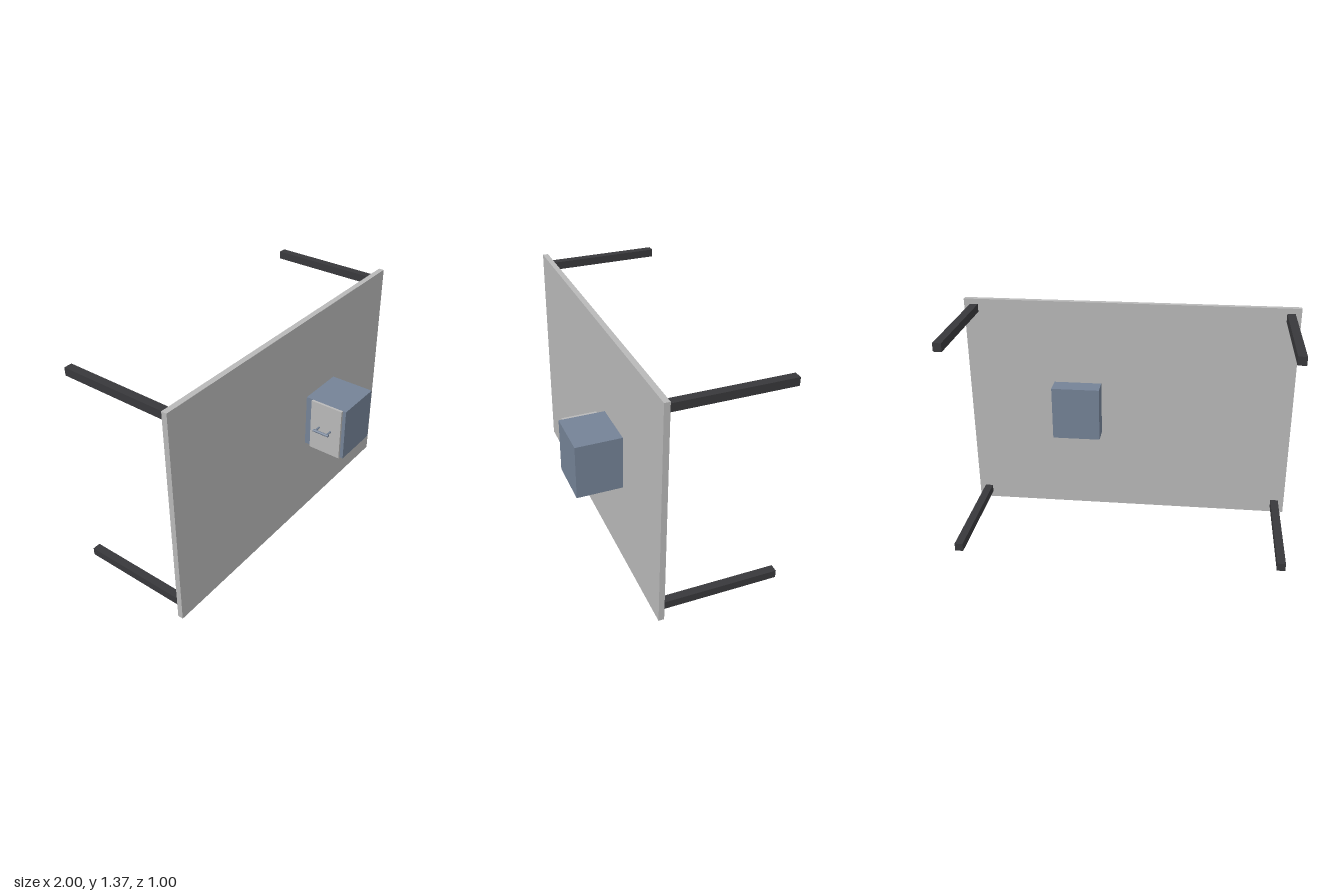
import * as THREE from 'three';

export function createModel() {
  const model = new THREE.Group();
  const mat = (name, color) => {
    const m = new THREE.MeshStandardMaterial({ color });
    m.name = name;
    return m;
  };
  const panelGrey = mat('panelGrey', 0xb8b8b8);
  const steelBlue = mat('steelBlue', 0x748296);
  const darkMetal = mat('darkMetal', 0x38383b);

  // Box given by its extents on each axis
  const box = (name, material, [x0, x1], [y0, y1], [z0, z1], parent = model) => {
    const mesh = new THREE.Mesh(new THREE.BoxGeometry(x1 - x0, y1 - y0, z1 - z0), material);
    mesh.position.set((x0 + x1) / 2, (y0 + y1) / 2, (z0 + z1) / 2);
    mesh.name = name;
    parent.add(mesh);
    return mesh;
  };

  // Upright panel
  box('panel', panelGrey, [-1, 1], [0, 1.367], [0.198, 0.231]);

  // Four square legs reaching backwards from the corners
  for (const x of [-0.94, 0.94])
    for (const y of [0.061, 1.311])
      box('leg', darkMetal, [x - 0.024, x + 0.024], [y - 0.024, y + 0.024], [-0.5, 0.198]);

  // Cabinet passing through the panel
  box('cabinet', steelBlue, [0.175, 0.467], [0.52, 0.851], [0.084, 0.502]);

  // Drawer front on the side of the cabinet
  box('drawerFront', panelGrey, [0.16, 0.175], [0.52, 0.851], [0.275, 0.481]);

  // Pull handle: grip bar on two posts
  const handle = new THREE.Group();
  handle.name = 'handle';
  model.add(handle);
  const rod = (name, radius, length) => {
    const mesh = new THREE.Mesh(new THREE.CylinderGeometry(radius, radius, length, 16), steelBlue);
    mesh.name = name;
    handle.add(mesh);
    return mesh;
  };
  const grip = rod('handleGrip', 0.008, 0.105);
  grip.rotation.x = Math.PI / 2;
  grip.position.set(0.115, 0.686, 0.376);
  for (const z of [0.337, 0.415]) {
    const post = rod('handlePost', 0.006, 0.046);
    post.rotation.z = Math.PI / 2;
    post.position.set(0.138, 0.686, z);
  }
  return model;
}
